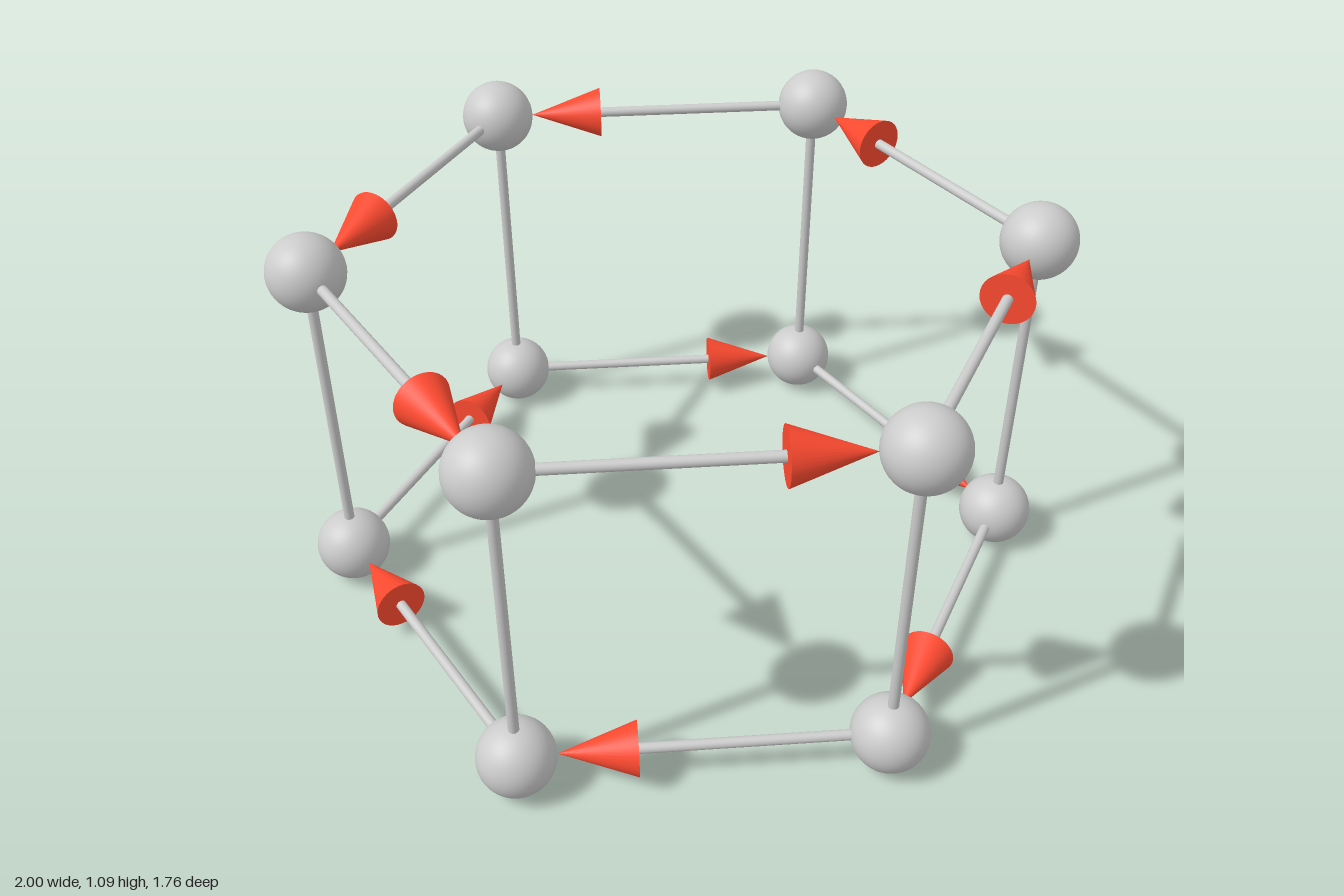
import * as THREE from 'three';

const RING = 0.902, NODE = 0.098, ROD = 0.0135;
const LOW = 0.098, HIGH = 0.987;
const HEAD_LENGTH = 0.193, HEAD_RADIUS = 0.068;
const UP = new THREE.Vector3(0, 1, 0);

const grey = new THREE.MeshStandardMaterial({ color: 0xcccccc });
const red = new THREE.MeshStandardMaterial({ color: 0xff4a30 });

// Cylinder or cone running from a to b
function bar(name, a, b, rStart, rEnd, material) {
  const dir = b.clone().sub(a);
  const geometry = new THREE.CylinderGeometry(rEnd, rStart, dir.length(), 32);
  const mesh = new THREE.Mesh(geometry, material);
  mesh.name = name;
  mesh.position.copy(a).add(b).multiplyScalar(0.5);
  mesh.quaternion.setFromUnitVectors(UP, dir.normalize());
  return mesh;
}

// Rod between two balls, with a cone whose tip touches the target ball
function arrow(name, from, to) {
  const group = new THREE.Group();
  group.name = name;
  const dir = to.clone().sub(from).normalize();
  const tip = to.clone().addScaledVector(dir, -NODE);
  const base = tip.clone().addScaledVector(dir, -HEAD_LENGTH);
  group.add(bar('arrowShaft', from, base, ROD, ROD, grey));
  group.add(bar('arrowHead', base, tip, HEAD_RADIUS, 0, red));
  return group;
}

export function createModel() {
  const model = new THREE.Group();
  model.name = 'hexagonalPrismGraph';

  // Corners run counter-clockwise seen from above
  const corners = (y) => Array.from({ length: 6 }, (_, i) => {
    const t = i * Math.PI / 3;
    return new THREE.Vector3(RING * Math.cos(t), y, -RING * Math.sin(t));
  });
  const lower = corners(LOW), upper = corners(HIGH);

  // Balls at the corners
  const ball = new THREE.SphereGeometry(NODE, 40, 28);
  for (const p of [...lower, ...upper]) {
    const mesh = new THREE.Mesh(ball, grey);
    mesh.name = 'cornerBall';
    mesh.position.copy(p);
    model.add(mesh);
  }

  // Upright rods, and arrows circling opposite ways on the two rings
  for (let i = 0; i < 6; i++) {
    const j = (i + 1) % 6;
    model.add(bar('uprightRod', lower[i], upper[i], ROD, ROD, grey));
    model.add(arrow('upperArrow', upper[i], upper[j]));
    model.add(arrow('lowerArrow', lower[j], lower[i]));
  }
  return model;
}
